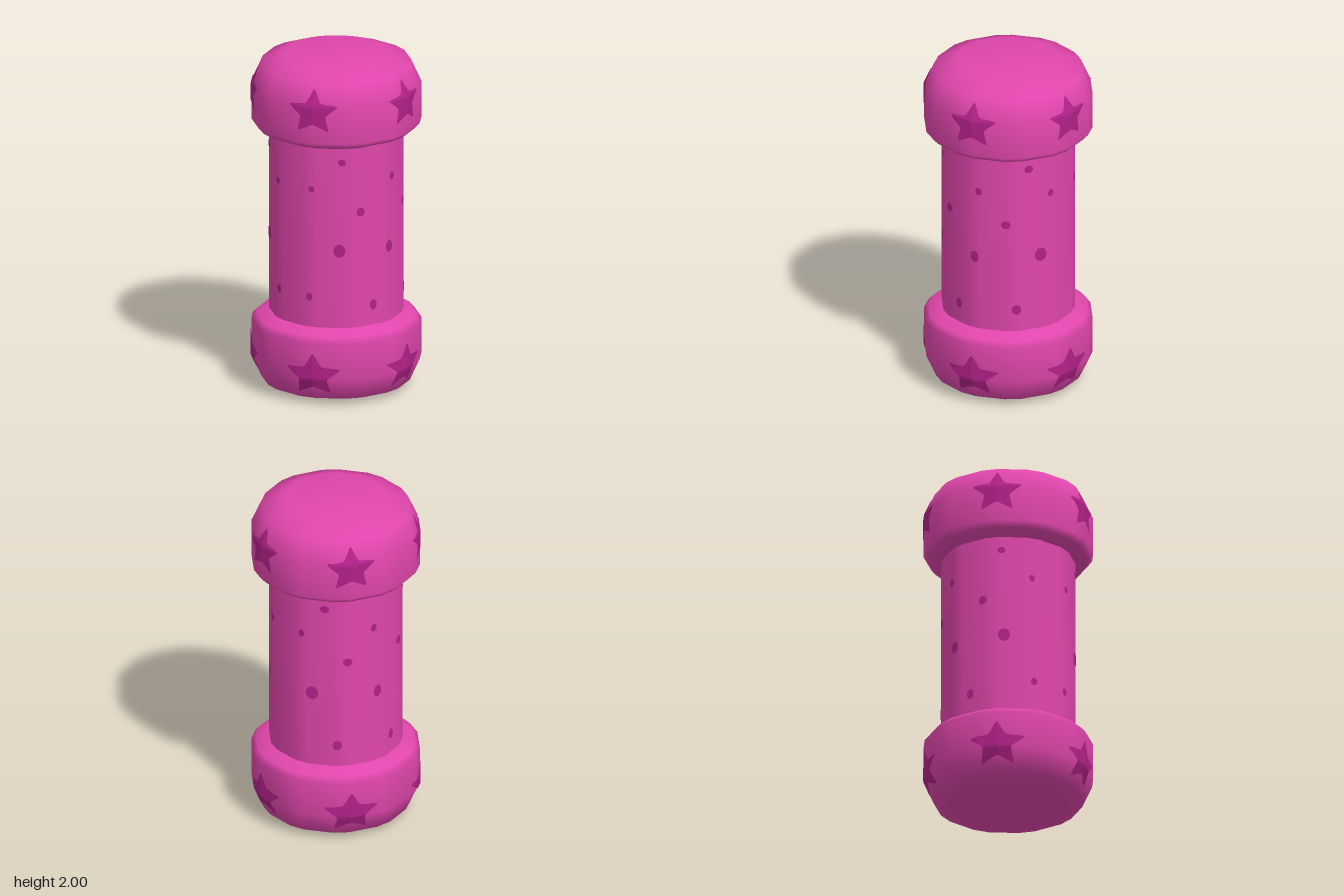
import * as THREE from 'three';
import { mergeVertices } from 'three/addons/utils/BufferGeometryUtils.js';

const RAD = Math.PI / 180;
const SHORT = 6.4; // half angle of the narrow bevel faces of the ten-sided body

// Profiles as [radius, height]
const lowerCap = [[0, 0], [0.31, 0.005], [0.43, 0.04], [0.488, 0.17], [0.488, 0.39], [0.46, 0.42], [0.39, 0.453], [0.36, 0.453]];
const upperCap = [[0.36, 1.54], [0.39, 1.54], [0.46, 1.568], [0.488, 1.6], [0.488, 1.82], [0.43, 1.95], [0.3, 1.998], [0, 2]];
const shaftProfile = [[0.386, 0.42], [0.386, 1.57]];

// Smooth body turned around y, with wide and narrow sides alternating
function turned(profile) {
  const geo = new THREE.LatheGeometry(profile.map(([r, y]) => new THREE.Vector2(r, y)), 20);
  const pos = geo.attributes.position;
  for (let i = 0; i < pos.count; i++) {
    const [r, y] = profile[i % profile.length];
    const side = Math.floor(i / profile.length) % 20;
    const a = (36 * (side >> 1) + (side & 1 ? 36 - SHORT : SHORT)) * RAD;
    pos.setXYZ(i, r * Math.sin(a), y, r * Math.cos(a));
  }
  geo.deleteAttribute('normal');
  geo.deleteAttribute('uv');
  const merged = mergeVertices(geo);
  merged.computeVertexNormals();
  return merged;
}

// Point on a turned body at an angle in degrees and a height, lifted slightly
function surfacePoint(profile, deg, y) {
  let k = 0;
  while (k < profile.length - 2 && y > profile[k + 1][1]) k++;
  const [r0, y0] = profile[k], [r1, y1] = profile[k + 1];
  const r = r0 + (r1 - r0) * (y - y0) / (y1 - y0);
  const local = ((deg + SHORT) % 36 + 36) % 36 - SHORT;
  const narrow = local < SHORT;
  const half = narrow ? SHORT : 18 - SHORT;
  const flat = Math.cos(half * RAD) / Math.cos((narrow ? local : local - 18) * RAD);
  const R = r * flat + 0.004;
  return [R * Math.sin(deg * RAD), y, R * Math.cos(deg * RAD)];
}

// Thin painted shape wrapped onto a body; outline is a list of [across, up]
function decal(profile, deg, y, outline, rings) {
  const radius = Math.max(...profile.map(p => p[0]));
  const n = outline.length, pos = [], index = [];
  for (let j = 0; j <= rings; j++) {
    for (const [u, v] of outline) {
      const s = j / rings;
      pos.push(...surfacePoint(profile, deg + u * s / radius / RAD, y + v * s));
    }
  }
  for (let j = 0; j < rings; j++) {
    for (let i = 0; i < n; i++) {
      const a = j * n + i, b = j * n + (i + 1) % n;
      if (j > 0) index.push(a, b + n, b);
      index.push(a, a + n, b + n);
    }
  }
  const geo = new THREE.BufferGeometry();
  geo.setAttribute('position', new THREE.Float32BufferAttribute(pos, 3));
  geo.setIndex(index);
  geo.computeVertexNormals();
  return geo;
}

// Soft five-pointed star
function starOutline(width, height) {
  const corners = [];
  for (let i = 0; i < 10; i++) {
    const a = (90 + 36 * i) * RAD, r = i % 2 ? 0.52 : 1;
    corners.push(new THREE.Vector3(Math.cos(a) * r * width, Math.sin(a) * r * height, 0));
  }
  const curve = new THREE.CatmullRomCurve3(corners, true, 'catmullrom', 0.25);
  return curve.getPoints(60).slice(0, 60).map(p => [p.x, p.y]);
}

function dotOutline(w, h) {
  return Array.from({ length: 12 }, (_, i) => [w * Math.cos(i * 30 * RAD), h * Math.sin(i * 30 * RAD)]);
}

export function createModel() {
  const group = new THREE.Group();
  const pink = new THREE.MeshStandardMaterial({ name: 'pink', color: 0xe046ac });
  const magenta = new THREE.MeshStandardMaterial({ name: 'magenta', color: 0xb22189 });
  const add = (name, geo, mat) => {
    const mesh = new THREE.Mesh(geo, mat);
    mesh.name = name;
    group.add(mesh);
  };

  add('shaft', turned(shaftProfile), pink);
  add('lowerCap', turned(lowerCap), pink);
  add('upperCap', turned(upperCap), pink);

  // Five stars around each cap
  for (let i = 0; i < 5; i++) {
    const deg = 6.5 + 72 * i;
    add('upperStar', decal(upperCap, deg, 1.785, starOutline(0.152, 0.135), 8), magenta);
    add('lowerStar', decal(lowerCap, deg, 0.19, starOutline(0.17, 0.135), 8), magenta);
  }

  // Dots on the shaft: angle, height, half width, half height; mirrored front to back
  const dots = [
    [-44.5, 1.455, 0.023, 0.02], [50, 1.475, 0.027, 0.024], [6, 1.325, 0.021, 0.024],
    [71, 1.297, 0.02, 0.022], [-28, 1.15, 0.026, 0.027], [30, 1.13, 0.028, 0.026],
    [-46.7, 0.92, 0.035, 0.04], [2, 0.905, 0.027, 0.037], [61, 0.92, 0.037, 0.042],
    [-15.5, 0.575, 0.023, 0.032], [39, 0.588, 0.027, 0.031],
    [-71, 1.287, 0.018, 0.02], [-73, 0.635, 0.02, 0.024],
  ];
  for (const [deg, y, w, h] of dots) {
    for (const a of [deg, 180 - deg]) add('shaftDot', decal(shaftProfile, a, y, dotOutline(w, h), 3), magenta);
  }
  return group;
}
